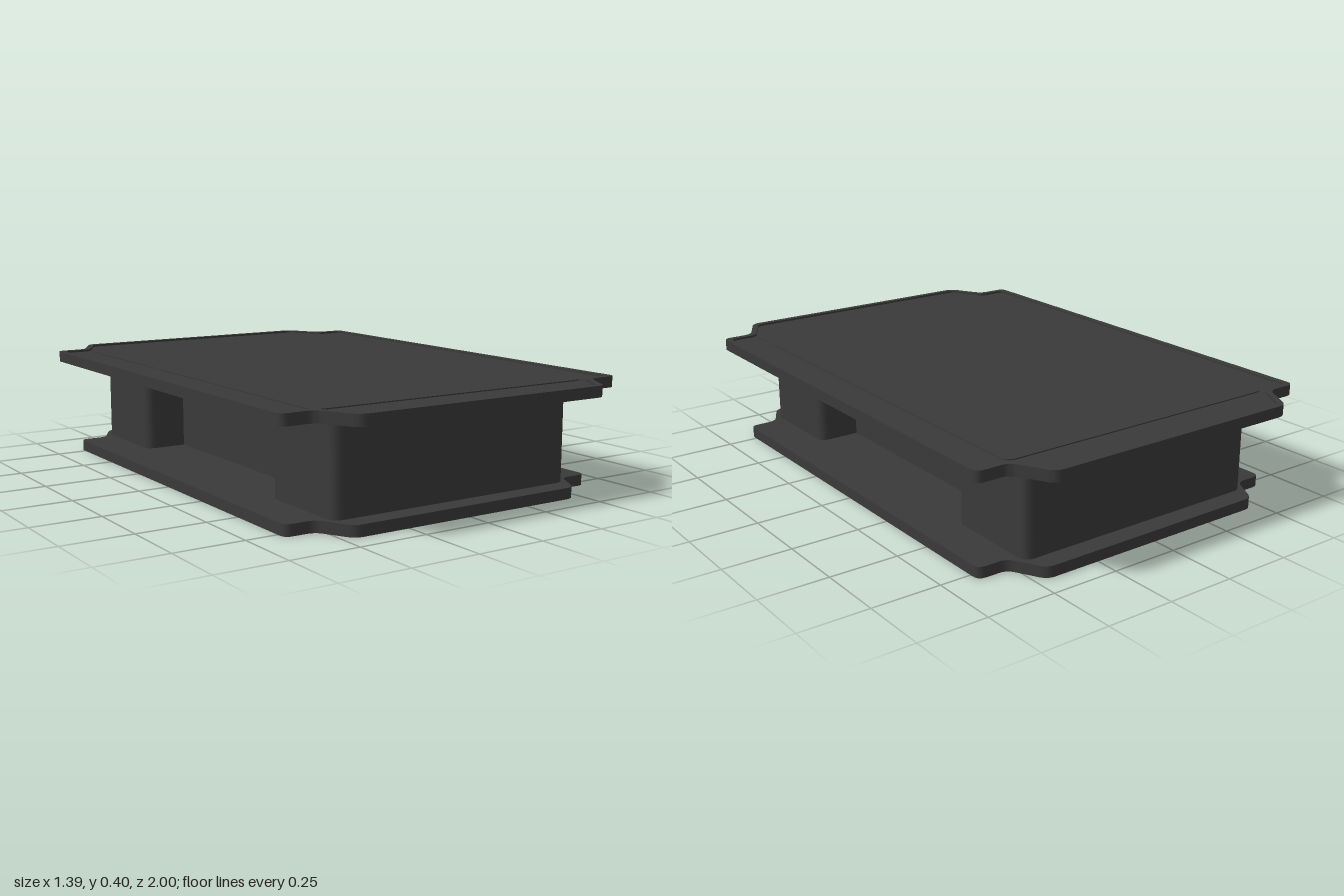
import * as THREE from 'three';
import { toCreasedNormals } from 'three/addons/utils/BufferGeometryUtils.js';

const material = new THREE.MeshStandardMaterial({ color: 0x3a3a3a });

// Closed outline through corner points, each corner rounded by radius r
function roundedShape(points, r, Type = THREE.Shape) {
  const shape = new Type();
  const v = points.map(([x, y]) => new THREE.Vector2(x, y));
  v.forEach((p, i) => {
    const toward = (q) => {
      const d = q.clone().sub(p);
      return p.clone().addScaledVector(d, Math.min(r, d.length() * 0.45) / d.length());
    };
    const a = toward(v[(i + v.length - 1) % v.length]);
    const b = toward(v[(i + 1) % v.length]);
    if (i === 0) shape.moveTo(a.x, a.y);
    else shape.lineTo(a.x, a.y);
    shape.quadraticCurveTo(p.x, p.y, b.x, b.y);
  });
  shape.closePath();
  return shape;
}

// Slab outline with side tabs and tapered ends, inset by d
function slabPoints(scale, d = 0) {
  const quarter = [
    [0.695 - d, 0.865 - d],
    [0.575 - 0.59 * d, 0.865 - d],
    [0.5 - 0.59 * d, 1 - d],
  ].map(([x, z]) => [x * scale, z * scale]);
  const mirrored = [...quarter].reverse();
  return [
    ...quarter,
    ...mirrored.map(([x, z]) => [-x, z]),
    ...quarter.map(([x, z]) => [-x, -z]),
    ...mirrored.map(([x, z]) => [x, -z]),
  ];
}

const rectPoints = (w, l) => [[w, l], [-w, l], [-w, -l], [w, -l]];

// Upright extrusion of a plan shape between two heights
function prism(name, shape, y0, y1, z = 0) {
  const flat = new THREE.ExtrudeGeometry(shape, { depth: y1 - y0, bevelEnabled: false, curveSegments: 6 });
  flat.rotateX(-Math.PI / 2);
  const mesh = new THREE.Mesh(toCreasedNormals(flat, 0.6), material);
  mesh.name = name;
  mesh.position.set(0, y0, z);
  return mesh;
}

export function createModel() {
  const table = new THREE.Group();
  table.name = 'lowTable';

  // Base plate
  table.add(prism('basePlate', roundedShape(slabPoints(0.915), 0.03), 0, 0.04));

  // Two end pedestals joined by a narrower core
  for (const [name, side] of [['frontPedestal', 1], ['backPedestal', -1]]) {
    table.add(prism(name, roundedShape(rectPoints(0.49, 0.185), 0.04), 0.04, 0.362, side * 0.655));
  }
  const core = new THREE.Mesh(new THREE.BoxGeometry(0.66, 0.322, 0.98), material);
  core.name = 'centralCore';
  core.position.y = 0.201;
  table.add(core);

  // Tabletop with a thin raised lip and an inlaid panel
  table.add(prism('tabletop', roundedShape(slabPoints(1), 0.03), 0.362, 0.394));
  const lip = roundedShape(slabPoints(1), 0.03);
  lip.holes.push(roundedShape(slabPoints(1, 0.022), 0.025, THREE.Path));
  table.add(prism('tabletopLip', lip, 0.394, 0.402));
  table.add(prism('inlaidPanel', roundedShape(rectPoints(0.565, 0.84), 0.04), 0.394, 0.398));

  return table;
}
